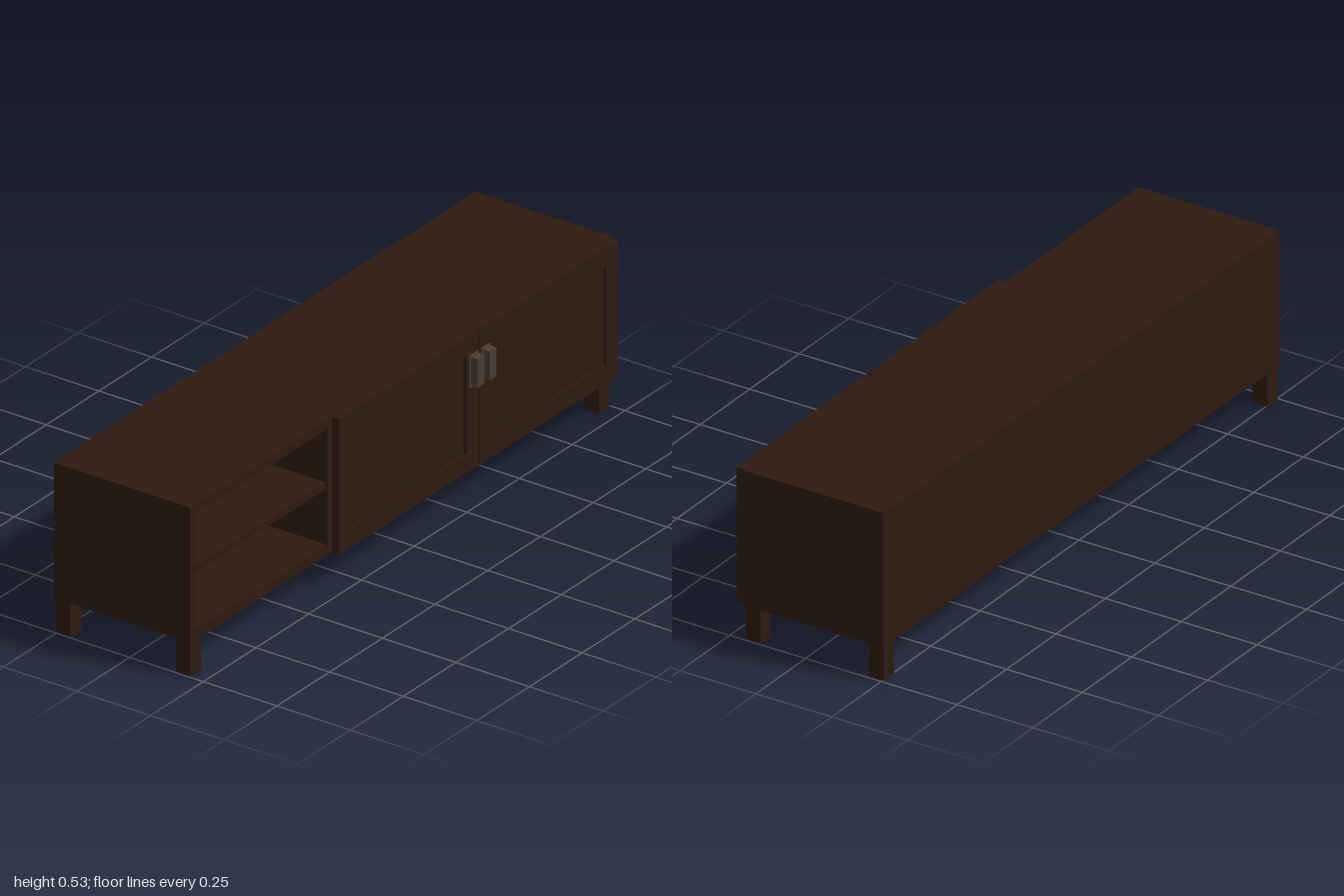
import * as THREE from 'three';

const wood = new THREE.MeshStandardMaterial({ color: 0x2e1a0f });
const metal = new THREE.MeshStandardMaterial({ color: 0x4a3d2f });

// Box given by its minimum and maximum along each axis
function box(parent, name, [x0, x1], [y0, y1], [z0, z1], material = wood) {
  const mesh = new THREE.Mesh(new THREE.BoxGeometry(x1 - x0, y1 - y0, z1 - z0), material);
  mesh.position.set((x0 + x1) / 2, (y0 + y1) / 2, (z0 + z1) / 2);
  mesh.name = name;
  parent.add(mesh);
  return mesh;
}

const BOTTOM = 0.107, TOP = 0.528, BACK = -0.258, FRONT = 0.207, DOOR_FRONT = 0.232;

// Framed door with a recessed centre panel
function createDoor(name, x0, x1) {
  const door = new THREE.Group();
  door.name = name;
  const rail = 0.057;
  const frame = new THREE.Shape([
    new THREE.Vector2(x0, BOTTOM), new THREE.Vector2(x1, BOTTOM),
    new THREE.Vector2(x1, TOP), new THREE.Vector2(x0, TOP),
  ]);
  frame.holes.push(new THREE.Path([
    new THREE.Vector2(x0 + rail, BOTTOM + rail), new THREE.Vector2(x0 + rail, TOP - rail),
    new THREE.Vector2(x1 - rail, TOP - rail), new THREE.Vector2(x1 - rail, BOTTOM + rail),
  ]));
  const geometry = new THREE.ExtrudeGeometry(frame, { depth: DOOR_FRONT - FRONT, bevelEnabled: false });
  const mesh = new THREE.Mesh(geometry, wood);
  mesh.position.z = FRONT;
  mesh.name = 'doorFrame';
  door.add(mesh);
  box(door, 'doorPanel', [x0 + rail, x1 - rail], [BOTTOM + rail, TOP - rail], [FRONT, DOOR_FRONT - 0.01]);
  return door;
}

// Handle: thin backing plate with a raised grip
function createHandle(name, x) {
  const handle = new THREE.Group();
  handle.name = name;
  box(handle, 'handlePlate', [x - 0.021, x + 0.021], [0.367, 0.467], [DOOR_FRONT, 0.237], metal);
  box(handle, 'handleGrip', [x - 0.016, x + 0.016], [0.373, 0.462], [0.237, 0.259], metal);
  return handle;
}

export function createModel() {
  const model = new THREE.Group();
  model.name = 'mediaCabinet';

  // Carcass
  const carcass = new THREE.Group();
  carcass.name = 'carcass';
  model.add(carcass);
  const depth = [BACK, FRONT], inside = [-0.98, 0.98], innerHeight = [0.139, 0.5];
  box(carcass, 'topBoard', inside, [0.5, TOP], depth);
  box(carcass, 'bottomBoard', inside, [BOTTOM, 0.139], depth);
  box(carcass, 'rightSide', [-1, -0.98], [BOTTOM, TOP], depth);
  box(carcass, 'leftSide', [0.98, 1], [BOTTOM, TOP], depth);
  box(carcass, 'backBoard', inside, innerHeight, [BACK, BACK + 0.015]);
  box(carcass, 'divider', [-0.352, -0.326], innerHeight, [BACK + 0.015, FRONT]);
  box(carcass, 'shelf', [-0.98, -0.352], [0.311, 0.332], [BACK + 0.015, FRONT - 0.005]);

  // Doors and the pair of handles at their meeting edge
  model.add(createDoor('rightDoor', -0.33, 0.331), createDoor('leftDoor', 0.335, 0.993));
  model.add(createHandle('rightHandle', 0.304), createHandle('leftHandle', 0.362));

  // Legs
  for (const x of [-0.97, 0.967]) {
    for (const z of [0.178, -0.229]) {
      box(model, (z > 0 ? 'front' : 'back') + (x > 0 ? 'Left' : 'Right') + 'Leg',
        [x - 0.025, x + 0.025], [0, BOTTOM], [z - 0.025, z + 0.025]);
    }
  }
  return model;
}
